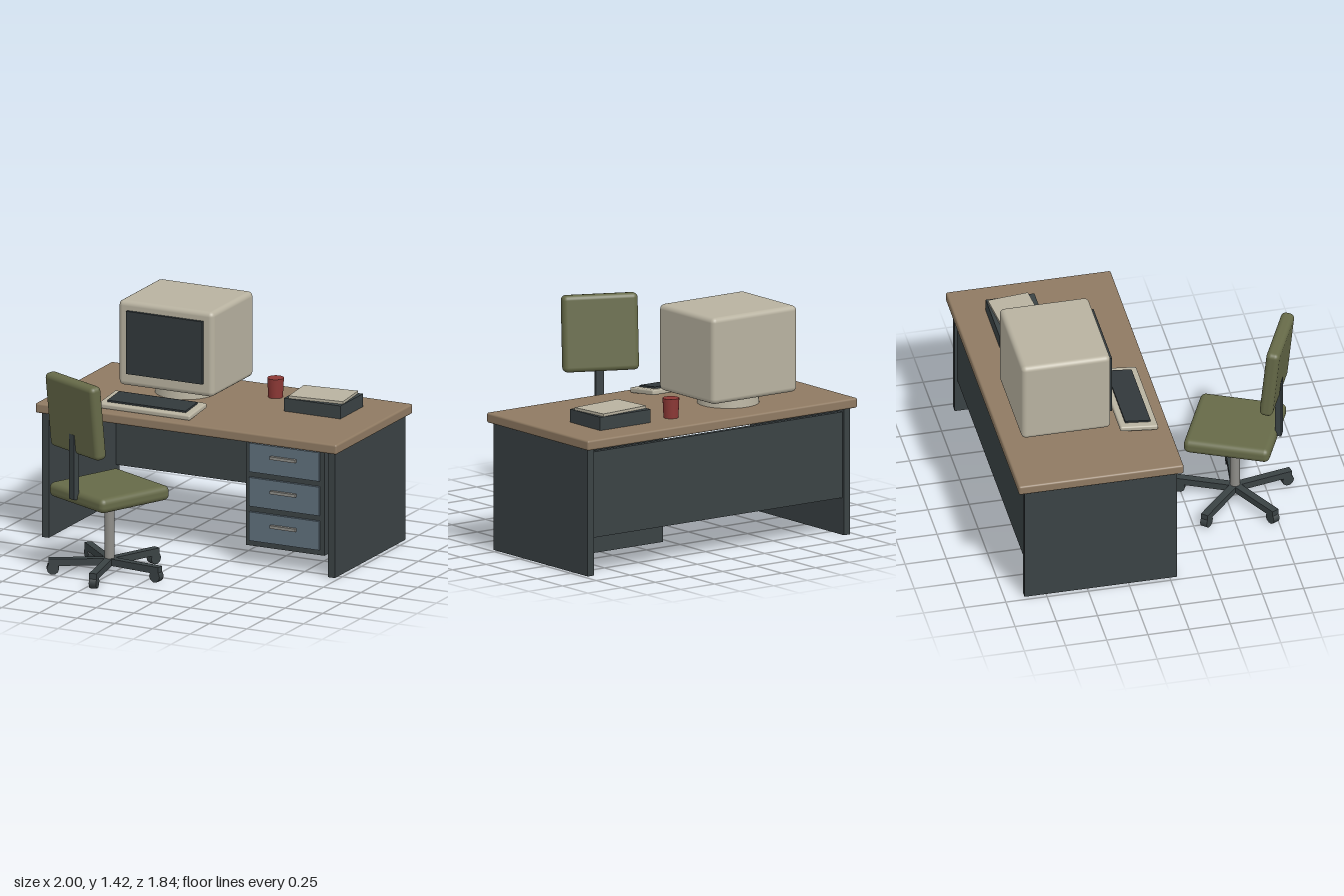
import * as THREE from 'three';
import { RoundedBoxGeometry } from 'three/addons/geometries/RoundedBoxGeometry.js';

function material(name, color) {
  const m = new THREE.MeshStandardMaterial({ color });
  m.name = name;
  return m;
}

export function createModel() {
  const wood = material('wood', 0x8f7a62);
  const dark = material('darkMetal', 0x3a4244);
  const glass = material('darkPlastic', 0x31383b);
  const beige = material('beigePlastic', 0xb8b2a0);
  const olive = material('oliveFabric', 0x666a48);
  const blue = material('drawerBlue', 0x5f6f7b);
  const red = material('mugRed', 0x8c3835);
  const steel = material('steel', 0x8e8d88);

  const model = new THREE.Group();
  model.name = 'officeDesk';

  function add(parent, name, geometry, mat, x, y, z) {
    const mesh = new THREE.Mesh(geometry, mat);
    mesh.name = name;
    mesh.position.set(x, y, z);
    parent.add(mesh);
    return mesh;
  }
  const group = (parent, name, x = 0, y = 0, z = 0) => {
    const g = new THREE.Group();
    g.name = name;
    g.position.set(x, y, z);
    parent.add(g);
    return g;
  };
  const box = (w, h, d) => new THREE.BoxGeometry(w, h, d);
  const soft = (w, h, d, r) => new RoundedBoxGeometry(w, h, d, 3, r);

  // Desk: top, side panels and back panel
  const desk = group(model, 'desk');
  add(desk, 'desktop', soft(2, 0.06, 1, 0.012), wood, 0, 0.8, -0.42);
  for (const side of [-1, 1]) {
    add(desk, 'sidePanel', box(0.045, 0.77, 0.925), dark, side * 0.95, 0.385, -0.418);
  }
  add(desk, 'backPanel', box(1.86, 0.52, 0.03), dark, 0, 0.485, -0.85);

  // Drawer pedestal
  const pedestal = group(desk, 'pedestal', 0.63, 0, 0);
  add(pedestal, 'cabinet', box(0.52, 0.65, 0.84), dark, 0, 0.445, -0.4);
  for (let i = 0; i < 3; i++) {
    const y = 0.667 - i * 0.212;
    add(pedestal, 'drawerFront', box(0.465, 0.177, 0.02), blue, 0, y, 0.028);
    add(pedestal, 'drawerHandle', box(0.17, 0.018, 0.022), steel, 0, y + 0.019, 0.048);
  }

  // Monitor on a low round foot
  const monitor = group(model, 'monitor', -0.318, 0, -0.55);
  add(monitor, 'monitorFoot', new THREE.CylinderGeometry(0.18, 0.185, 0.052, 32), beige, 0, 0.857, 0);
  add(monitor, 'monitorNeck', new THREE.CylinderGeometry(0.12, 0.12, 0.03, 24), beige, 0, 0.89, 0);
  add(monitor, 'monitorCase', soft(0.63, 0.522, 0.54, 0.03), beige, 0, 1.159, 0);
  add(monitor, 'screen', box(0.505, 0.386, 0.03), glass, 0, 1.171, 0.275);

  // Keyboard, tilted up at the back
  const keyboard = group(model, 'keyboard', -0.315, 0.857, -0.105);
  keyboard.rotation.x = 0.1;
  add(keyboard, 'keyboardCase', soft(0.61, 0.032, 0.23, 0.01), beige, 0, 0, 0);
  add(keyboard, 'keys', box(0.52, 0.014, 0.155), glass, 0, 0.02, -0.002);

  // Mug, tray and paper stack
  add(model, 'mug', new THREE.CylinderGeometry(0.05, 0.044, 0.118, 20), red, 0.208, 0.889, -0.685);
  add(model, 'tray', box(0.375, 0.08, 0.295), dark, 0.578, 0.87, -0.581);
  const paper = add(model, 'paperStack', box(0.345, 0.016, 0.25), beige, 0.578, 0.918, -0.581);
  paper.rotation.y = 0.1;

  // Swivel chair, facing the desk at an angle
  const chair = group(model, 'chair', -0.267, 0, 0.553);
  chair.rotation.y = -0.433;
  add(chair, 'seat', soft(0.52, 0.09, 0.52, 0.035), olive, 0, 0.506, 0);
  const back = add(chair, 'backrest', soft(0.46, 0.46, 0.08, 0.03), olive, 0, 1.013, 0.254);
  back.rotation.x = 0.1;
  add(chair, 'backSupport', box(0.05, 0.4, 0.036), dark, 0, 0.704, 0.267);
  add(chair, 'post', new THREE.CylinderGeometry(0.03, 0.03, 0.39, 20), steel, 0, 0.275, 0);

  // Five-armed base with casters
  for (let i = 0; i < 5; i++) {
    const leg = group(chair, 'baseLeg');
    leg.rotation.y = (i * Math.PI * 2) / 5;
    add(leg, 'baseArm', box(0.046, 0.042, 0.36), dark, 0, 0.075, -0.18);
    const wheel = add(leg, 'caster', new THREE.CylinderGeometry(0.037, 0.037, 0.045, 10), dark, 0, 0.036, -0.335);
    wheel.rotation.z = Math.PI / 2;
  }
  return model;
}
